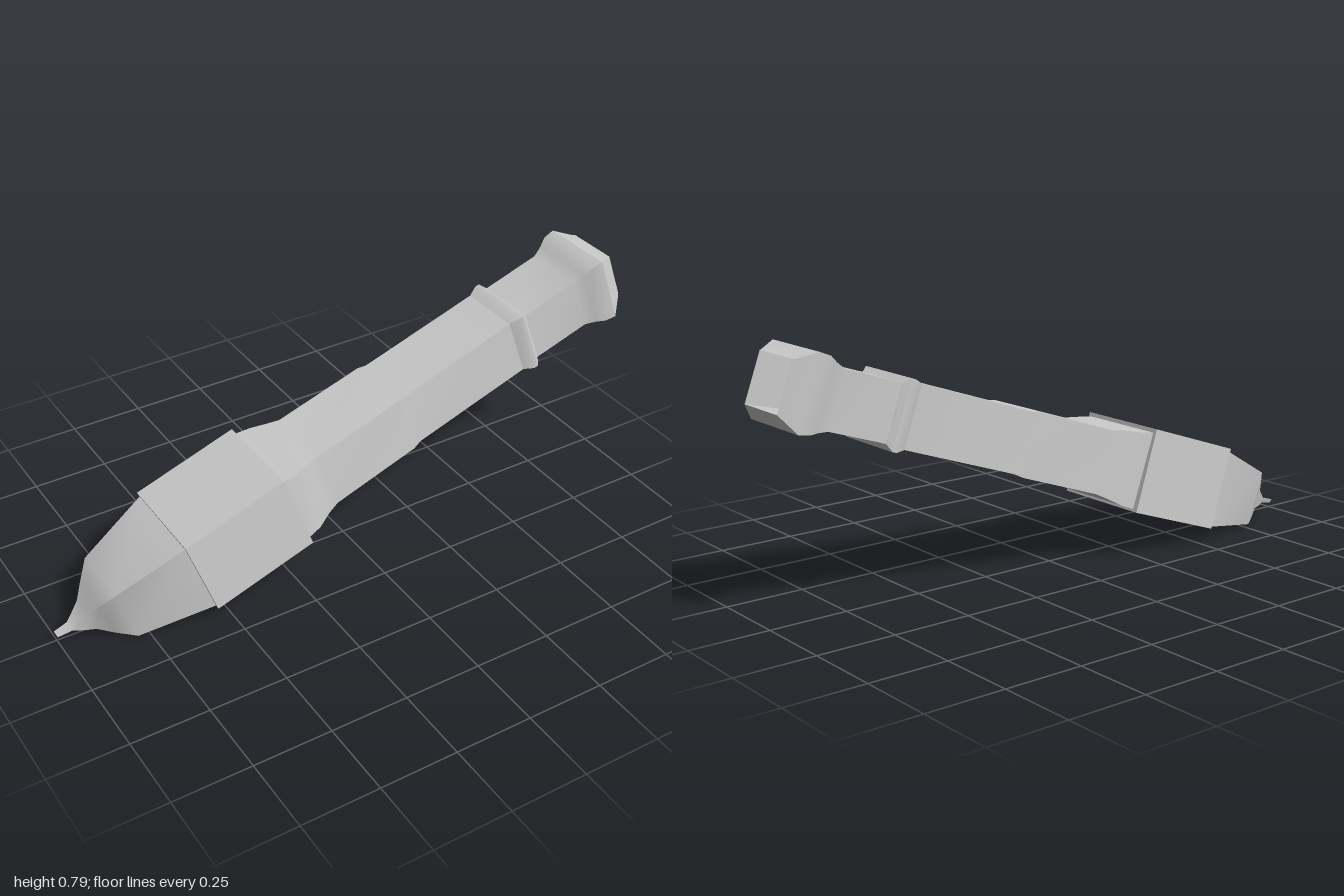
import * as THREE from 'three';
import { toCreasedNormals } from 'three/addons/utils/BufferGeometryUtils.js';

const TILT = THREE.MathUtils.degToRad(19);
const material = new THREE.MeshStandardMaterial({ color: 0xcccccc });

// Four-cornered section: position along the axis, bottom, top, half width
function ring([s, bottom, top, w], topScale) {
  const wt = w * topScale, shift = -0.004;
  return [[s, bottom, w], [s, top, wt + shift], [s, top, -wt + shift], [s, bottom, -w]];
}

// Loft through the sections, with optional end caps
function loft(name, stations, { topScale = 0.98, startCap = false, endCap = false } = {}) {
  const rings = stations.map((st) => ring(st, topScale));
  const positions = [];
  const quad = (a, b, c, d) => positions.push(...a, ...b, ...c, ...a, ...c, ...d);
  for (let k = 0; k < rings.length - 1; k++) {
    for (let i = 0; i < 4; i++) {
      const j = (i + 1) % 4;
      quad(rings[k][i], rings[k + 1][i], rings[k + 1][j], rings[k][j]);
    }
  }
  if (startCap) quad(...rings[0]);
  if (endCap) quad(...[...rings[rings.length - 1]].reverse());
  const geometry = new THREE.BufferGeometry();
  geometry.setAttribute('position', new THREE.Float32BufferAttribute(positions, 3));
  const mesh = new THREE.Mesh(toCreasedNormals(geometry, 0.6), material);
  mesh.name = name;
  return mesh;
}

export function createModel() {
  const group = new THREE.Group();
  group.name = 'taperedHandle';
  const body = new THREE.Group();
  body.name = 'tiltedBody';
  body.rotation.z = TILT;
  body.position.y = -0.003;
  group.add(body);

  body.add(
    // Pointed end swelling into the thick block
    loft('nose', [
      [-0.937, 0.347, 0.359, 0.007], [-0.89, 0.34, 0.356, 0.012],
      [-0.86, 0.328, 0.366, 0.028], [-0.83, 0.317, 0.381, 0.04],
      [-0.79, 0.29, 0.41, 0.072], [-0.74, 0.262, 0.444, 0.11],
      [-0.5, 0.228, 0.485, 0.158],
    ], { topScale: 0.96, startCap: true }),
    // Widest block, stepped at both ends
    loft('block', [
      [-0.5, 0.225, 0.495, 0.172], [-0.148, 0.225, 0.495, 0.172],
    ], { topScale: 0.94, startCap: true, endCap: true }),
    // Long shaft with a slight step halfway
    loft('shaft', [
      [-0.148, 0.233, 0.482, 0.153], [-0.1, 0.236, 0.473, 0.147],
      [-0.05, 0.246, 0.466, 0.128], [-0.01, 0.252, 0.457, 0.119],
      [0.29, 0.253, 0.456, 0.116], [0.32, 0.258, 0.451, 0.11],
      [0.735, 0.258, 0.451, 0.108],
    ]),
    // Raised collar
    loft('collar', [
      [0.735, 0.258, 0.451, 0.108], [0.768, 0.246, 0.459, 0.121],
      [0.782, 0.246, 0.459, 0.121], [0.797, 0.262, 0.44, 0.106],
    ], { endCap: true }),
    // Neck flaring into the end
    loft('flaredHead', [
      [0.797, 0.264, 0.44, 0.105], [0.995, 0.262, 0.439, 0.105],
      [1.03, 0.253, 0.451, 0.114], [1.06, 0.243, 0.464, 0.126],
      [1.097, 0.237, 0.466, 0.129], [1.145, 0.27, 0.432, 0.094],
      [1.152, 0.275, 0.43, 0.088],
    ]),
    // Hollow in the flared end
    loft('socket', [
      [1.152, 0.275, 0.43, 0.088], [1.05, 0.285, 0.432, 0.072],
    ], { endCap: true }),
  );
  return group;
}
